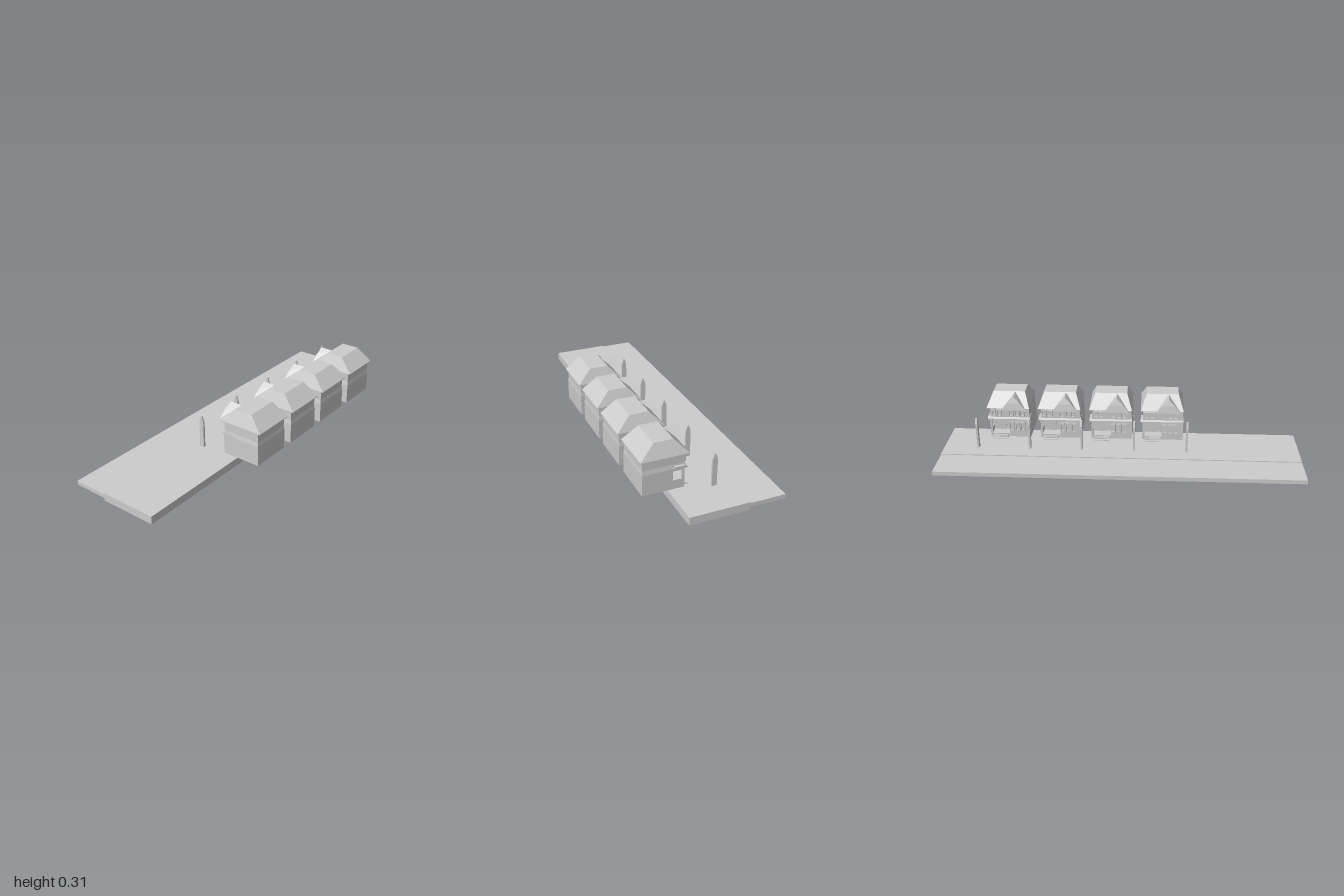
import * as THREE from 'three';

const grey = new THREE.MeshStandardMaterial({ color: 0xcccccc });
grey.name = 'plain grey';

function add(parent, name, geometry) {
  const mesh = new THREE.Mesh(geometry, grey);
  mesh.name = name;
  parent.add(mesh);
  return mesh;
}

// Box given by its ranges
function box(parent, name, x0, x1, y0, y1, z0, z1) {
  const g = new THREE.BoxGeometry(x1 - x0, y1 - y0, z1 - z0);
  g.translate((x0 + x1) / 2, (y0 + y1) / 2, (z0 + z1) / 2);
  return add(parent, name, g);
}

// Flat-faced geometry from polygons (counter-clockwise from outside)
function faceted(polygons) {
  const pos = [];
  for (const p of polygons)
    for (let i = 1; i < p.length - 1; i++) pos.push(...p[0], ...p[i], ...p[i + 1]);
  const g = new THREE.BufferGeometry();
  g.setAttribute('position', new THREE.Float32BufferAttribute(pos, 3));
  g.computeVertexNormals();
  return g;
}

// Stack of rectangles [y, x0, x1, z0, z1] joined into a closed solid
function loft(sections) {
  const rings = sections.map(([y, x0, x1, z0, z1]) =>
    [[x0, y, z1], [x1, y, z1], [x1, y, z0], [x0, y, z0]]);
  const faces = [[...rings[0]].reverse(), rings[rings.length - 1]];
  for (let r = 0; r < rings.length - 1; r++)
    for (let i = 0; i < 4; i++) {
      const j = (i + 1) % 4;
      faces.push([rings[r][i], rings[r][j], rings[r + 1][j], rings[r + 1][i]]);
    }
  return faceted(faces);
}

// Projecting window frame with a sill bar, on the street wall
function addWindow(parent, x, y0, y1, w) {
  const t = 0.005;
  const s = new THREE.Shape([[-w / 2, y0], [w / 2, y0], [w / 2, y1], [-w / 2, y1]]
    .map(p => new THREE.Vector2(...p)));
  s.holes.push(new THREE.Path([[-w / 2 + t, y0 + t], [-w / 2 + t, y1 - t], [w / 2 - t, y1 - t], [w / 2 - t, y0 + t]]
    .map(p => new THREE.Vector2(...p))));
  const g = new THREE.ExtrudeGeometry(s, { depth: 0.013, bevelEnabled: false });
  g.translate(x, 0, 0.083);
  add(parent, 'windowFrame', g);
}

// Hipped dormer roof with slightly bowed slopes
function dormerGeometry(cx) {
  const eave = s => [cx + s * 0.072, 0.228, 0.055];
  const mid = s => [cx + s * 0.037, 0.27, 0.062];
  const tip = [cx, 0.306, 0.073], back = [cx, 0.306, 0.147];
  return faceted([
    [eave(1), eave(-1), mid(-1), mid(1)], [mid(1), mid(-1), tip],
    [eave(-1), back, mid(-1)], [mid(-1), back, tip],
    [eave(1), mid(1), back], [mid(1), tip, back],
    [eave(-1), eave(1), [cx + 0.072, 0.228, 0.1], [cx - 0.072, 0.228, 0.1]],
  ]);
}

function createHouse() {
  const house = new THREE.Group();
  house.name = 'house';

  // Walls, with a porch recess at one corner of the ground floor
  box(house, 'lowerWalls', -0.122, 0, 0.043, 0.155, 0.095, 0.316);
  box(house, 'lowerSideWalls', 0, 0.112, 0.043, 0.155, 0.155, 0.316);
  add(house, 'upperWalls', loft([
    [0.155, -0.122, 0.112, 0.095, 0.316],
    [0.178, -0.118, 0.108, 0.095, 0.313],
    [0.231, -0.118, 0.108, 0.095, 0.313]]));

  // Roofs
  add(house, 'mainRoof', loft([
    [0.229, -0.122, 0.122, 0.073, 0.327],
    [0.232, -0.122, 0.122, 0.073, 0.327],
    [0.308, -0.092, 0.09, 0.147, 0.25]]));
  add(house, 'dormerRoof', dormerGeometry(-0.035));
  add(house, 'porchRoof', loft([
    [0.155, -0.122, 0.122, 0.083, 0.15],
    [0.16, -0.122, 0.122, 0.083, 0.15],
    [0.17, -0.122, 0.122, 0.1, 0.15]]));

  // Porch
  box(house, 'porchFloor', 0, 0.112, 0.043, 0.062, 0.095, 0.155);
  box(house, 'porchColumn', 0.1, 0.112, 0.062, 0.155, 0.095, 0.107);
  box(house, 'porchSideRail', 0.102, 0.112, 0.062, 0.092, 0.107, 0.155);
  box(house, 'porchSideBeam', 0.102, 0.112, 0.142, 0.155, 0.107, 0.155);
  box(house, 'door', 0.03, 0.065, 0.062, 0.135, 0.15, 0.155);
  [[0.057, 0.086], [0.052, 0.077], [0.047, 0.063]].forEach(([top, z]) =>
    box(house, 'step', 0.01, 0.095, 0.043, top, z, 0.096));

  // Windows and lintels
  for (const x of [-0.079, -0.047, -0.015]) {
    addWindow(house, x, 0.085, 0.14, 0.027);
    addWindow(house, x, 0.178, 0.218, 0.027);
  }
  for (const x of [0.055, 0.087]) addWindow(house, x, 0.178, 0.218, 0.027);
  box(house, 'dormerLintel', -0.1, 0.008, 0.218, 0.228, 0.085, 0.095);
  return house;
}

// Flat post with a pointed top
function createPost() {
  const s = new THREE.Shape([[0.028, 0.043], [0.055, 0.043], [0.055, 0.19], [0.0435, 0.224],
    [0.0385, 0.224], [0.028, 0.19]].map(p => new THREE.Vector2(...p)));
  const g = new THREE.ExtrudeGeometry(s, { depth: 0.011, bevelEnabled: false });
  g.translate(0, 0, -0.0055);
  g.rotateY(Math.PI / 2);
  const mesh = new THREE.Mesh(g, grey);
  mesh.name = 'streetPost';
  return mesh;
}

export function createModel() {
  const model = new THREE.Group();
  model.name = 'houseRow';

  // Ground
  box(model, 'groundSlab', -1, 1, 0, 0.043, -0.135, 0.183);
  box(model, 'road', -1, 1, 0.015, 0.038, -0.325, -0.135);

  // Row of houses with posts between
  for (let i = 0; i < 4; i++) {
    const house = createHouse();
    house.position.x = -0.231 + i * 0.2935;
    model.add(house);
  }
  for (let i = 0; i < 5; i++) {
    const post = createPost();
    post.position.x = -0.37 + i * 0.294;
    model.add(post);
  }
  return model;
}
